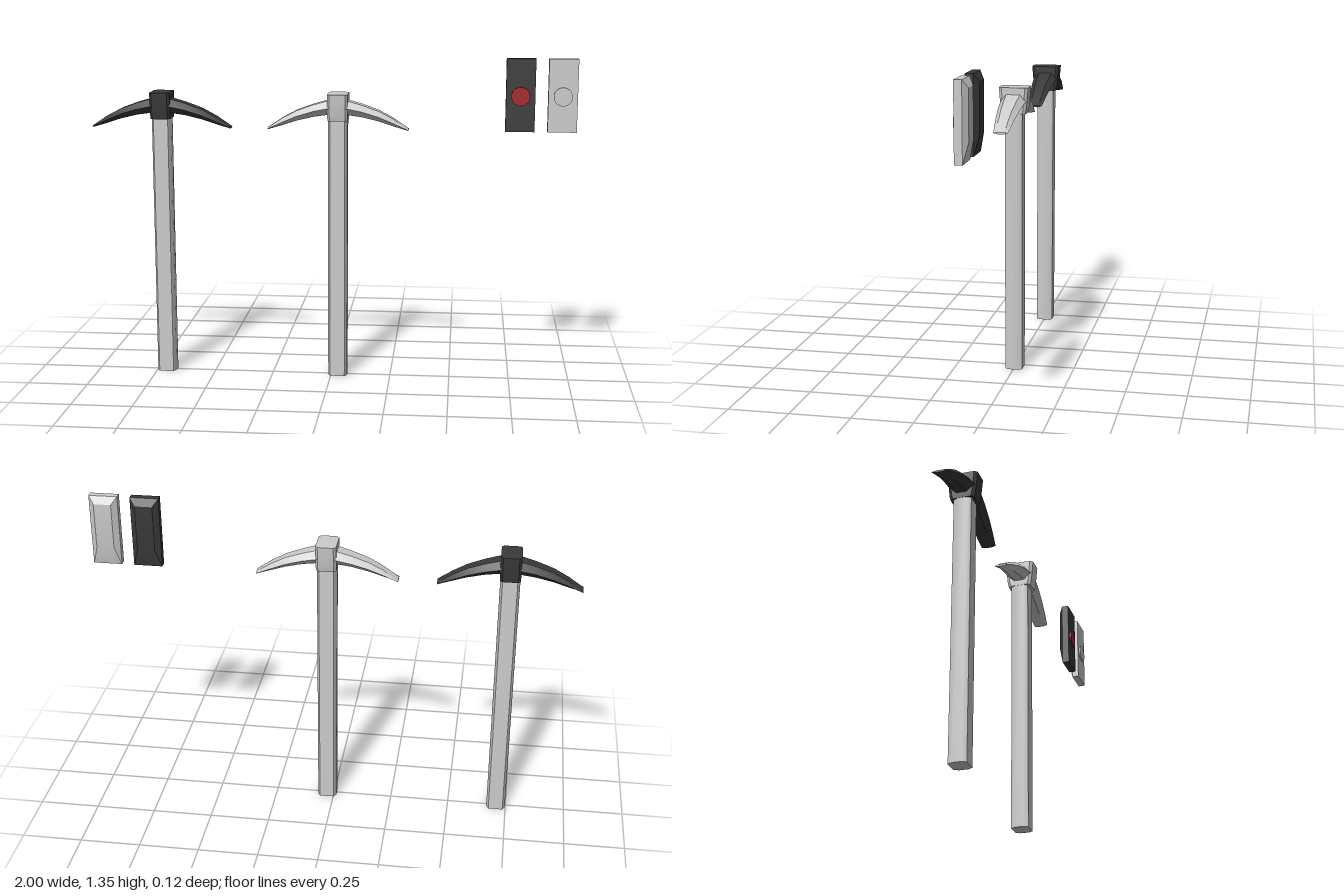
import * as THREE from 'three';
import { toCreasedNormals } from 'three/addons/utils/BufferGeometryUtils.js';

const grey = new THREE.MeshStandardMaterial({ color: 0xcccccc });
const dark = new THREE.MeshStandardMaterial({ color: 0x3a3a3a });
const red = new THREE.MeshStandardMaterial({ color: 0xa02424 });

// Skin a row of cross-sections (each counter-clockwise about the loft direction) and cap both ends
function loft(rings, crease = 0.3) {
  const n = rings[0].length, index = [];
  for (let r = 0; r < rings.length - 1; r++) {
    for (let j = 0; j < n; j++) {
      const a = r * n + j, b = r * n + (j + 1) % n;
      index.push(a, b, b + n, a, b + n, a + n);
    }
  }
  const last = (rings.length - 1) * n;
  for (let j = 1; j < n - 1; j++) {
    index.push(0, j + 1, j, last, last + j, last + j + 1);
  }
  const geo = new THREE.BufferGeometry();
  geo.setAttribute('position', new THREE.Float32BufferAttribute(rings.flat(2), 3));
  geo.setIndex(index);
  return toCreasedNormals(geo, crease);
}

// Rectangle with cut corners, lying level at height y
function octagon(y, hx, hz, cx, cz) {
  const x = hx - cx, z = hz - cz;
  return [[x, hz], [hx, z], [hx, -z], [x, -hz], [-x, -hz], [-hx, -z], [-hx, z], [-x, hz]]
    .map(([px, pz]) => [px, y, pz]);
}

// Six-sided blade section: narrow top, wide middle, narrow underside
function bladeSection([x, top, mid, low, w]) {
  const t = w * 0.55, b = w * 0.4;
  return [[x, top, t], [x, mid, w], [x, low, b], [x, low, -b], [x, mid, -w], [x, top, -t]];
}

function rectangle(z, hx, y0, y1) {
  return [[-hx, y0, z], [hx, y0, z], [hx, y1, z], [-hx, y1, z]];
}

function add(group, name, geo, material) {
  const mesh = new THREE.Mesh(geo, material);
  mesh.name = name;
  group.add(mesh);
  return mesh;
}

function makePickaxe(name, x, headMaterial) {
  const g = new THREE.Group();
  g.name = name;
  g.position.x = x;

  add(g, 'handle', loft([
    octagon(0, 0.04, 0.036, 0.01, 0.018),
    octagon(1.1, 0.04, 0.036, 0.01, 0.018),
  ], 0.9), grey);

  // Head block flares from the handle and widens upward
  add(g, 'headBlock', loft([
    octagon(1.09, 0.041, 0.048, 0.01, 0.012),
    octagon(1.11, 0.042, 0.053, 0.01, 0.012),
    octagon(1.2, 0.042, 0.061, 0.01, 0.012),
  ]), headMaterial);

  // Two matching blades, drooping to thin tips
  const blade = loft([
    [0.03, 1.175, 1.145, 1.115, 0.053],
    [0.10, 1.155, 1.13, 1.105, 0.048],
    [0.17, 1.13, 1.108, 1.088, 0.042],
    [0.23, 1.098, 1.082, 1.068, 0.036],
    [0.29, 1.058, 1.054, 1.05, 0.029],
  ].map(bladeSection), 0.35);
  add(g, 'leftBlade', blade, headMaterial);
  add(g, 'rightBlade', blade, headMaterial).rotation.y = Math.PI;
  return g;
}

function makeDevice(name, x, bodyMaterial, buttonMaterial) {
  const g = new THREE.Group();
  g.name = name;
  g.position.x = x;

  // Flat-fronted slab whose back is bevelled, deepest at the bottom
  add(g, 'body', loft([
    rectangle(-0.028, 0.036, 1.13, 1.32),
    rectangle(-0.01, 0.059, 1.053, 1.35),
    rectangle(0.02, 0.059, 1.053, 1.35),
  ]), bodyMaterial);

  const button = add(g, 'button', new THREE.CylinderGeometry(0.038, 0.038, 0.012, 32), buttonMaterial);
  button.rotation.x = Math.PI / 2;
  button.position.set(0, 1.198, 0.021);
  return g;
}

export function createModel() {
  const model = new THREE.Group();
  model.name = 'pickaxesAndDevices';
  model.add(
    makePickaxe('darkPickaxe', -0.708, dark),
    makePickaxe('greyPickaxe', 0.028, grey),
    makeDevice('darkDevice', 0.77, dark, red),
    makeDevice('greyDevice', 0.94, grey, grey),
  );
  return model;
}
